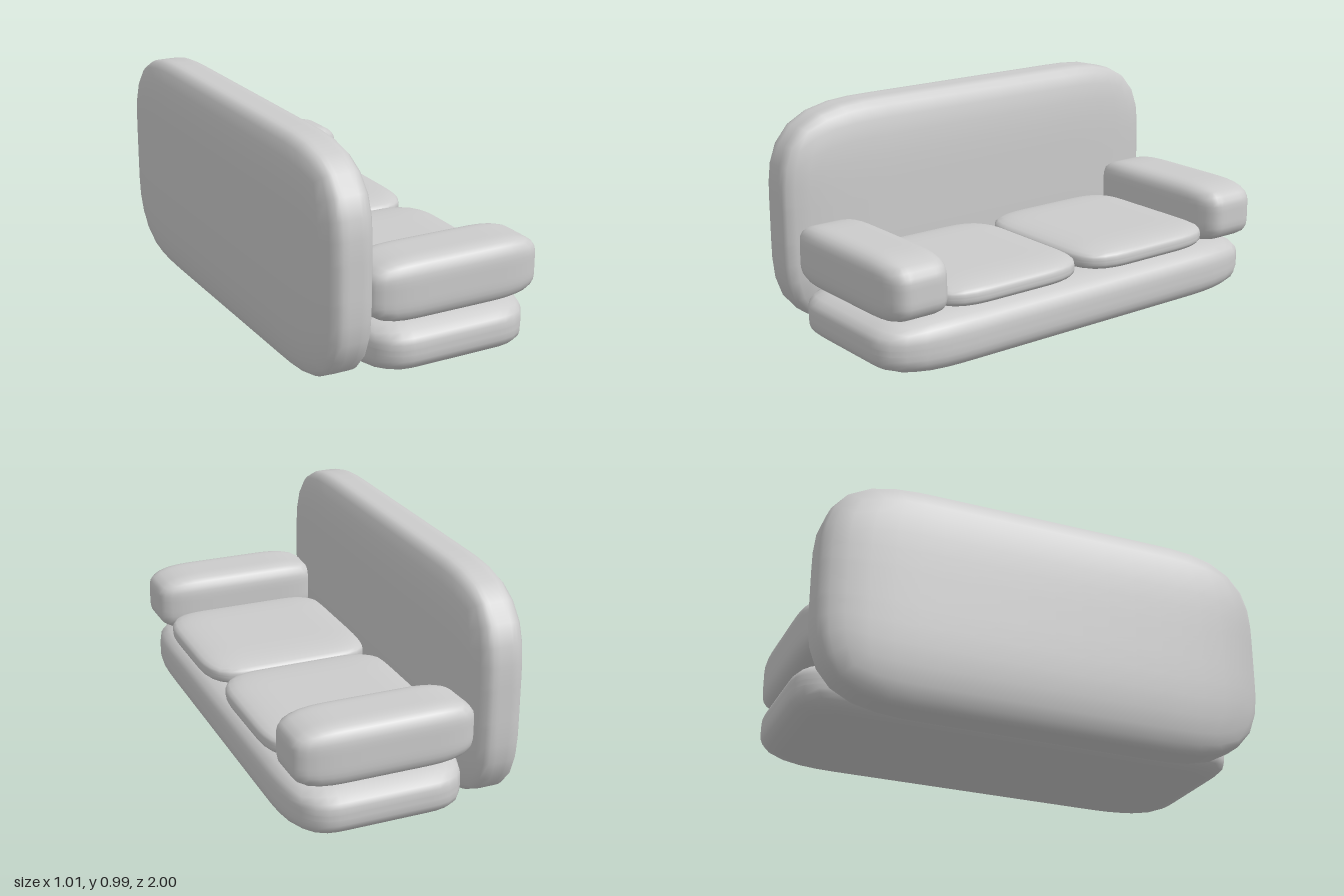
import * as THREE from 'three';
import { mergeVertices } from 'three/addons/utils/BufferGeometryUtils.js';

const material = new THREE.MeshStandardMaterial({ color: 0xcccccc });

// Soft cushion block between two corners; r holds the rounding length along each axis.
function cushion(name, min, max, r, power = 3) {
  const n = 16;
  const box = new THREE.BoxGeometry(2, 2, 2, n, n, n);
  box.deleteAttribute('uv');
  box.deleteAttribute('normal');
  const geometry = mergeVertices(box);
  const pos = geometry.attributes.position;
  for (let i = 0; i < pos.count; i++) {
    const u = [pos.getX(i), pos.getY(i), pos.getZ(i)];
    // The outer half of each axis belongs to the rounding, the inner half stays flat
    const e = u.map((v) => Math.tan(Math.max(0, Math.abs(v) * 2 - 1) * Math.PI / 4));
    const len = Math.pow(e.reduce((sum, v) => sum + v ** power, 0), 1 / power);
    const p = u.map((v, k) => {
      const core = (max[k] - min[k]) / 2 - r[k];
      const flat = Math.min(1, Math.abs(v) * 2) * core;
      return (min[k] + max[k]) / 2 + Math.sign(v) * (flat + r[k] * e[k] / len);
    });
    pos.setXYZ(i, ...p);
  }
  geometry.computeVertexNormals();
  const mesh = new THREE.Mesh(geometry, material);
  mesh.name = name;
  return mesh;
}

export function createModel() {
  const sofa = new THREE.Group();
  sofa.name = 'sofa';

  // Tall backrest and low base
  sofa.add(cushion('backrest', [-0.505, 0, -1], [-0.24, 0.985, 1], [0.1, 0.4, 0.5]));
  sofa.add(cushion('base', [-0.28, 0.022, -1], [0.505, 0.27, 1], [0.22, 0.11, 0.42]));

  // Armrests and seat cushions, one of each per side
  for (const [side, s] of [['Front', 1], ['Rear', -1]]) {
    const pair = (name, min, max, r) => {
      const z = [s * min[2], s * max[2]].sort((a, b) => a - b);
      sofa.add(cushion(name + side, [min[0], min[1], z[0]], [max[0], max[1], z[1]], r));
    };
    pair('armrest', [-0.28, 0.263, 0.695], [0.505, 0.526, 0.995], [0.25, 0.1, 0.1]);
    pair('seatCushion', [-0.28, 0.265, 0.002], [0.497, 0.376, 0.74], [0.22, 0.05, 0.25]);
  }
  return sofa;
}
